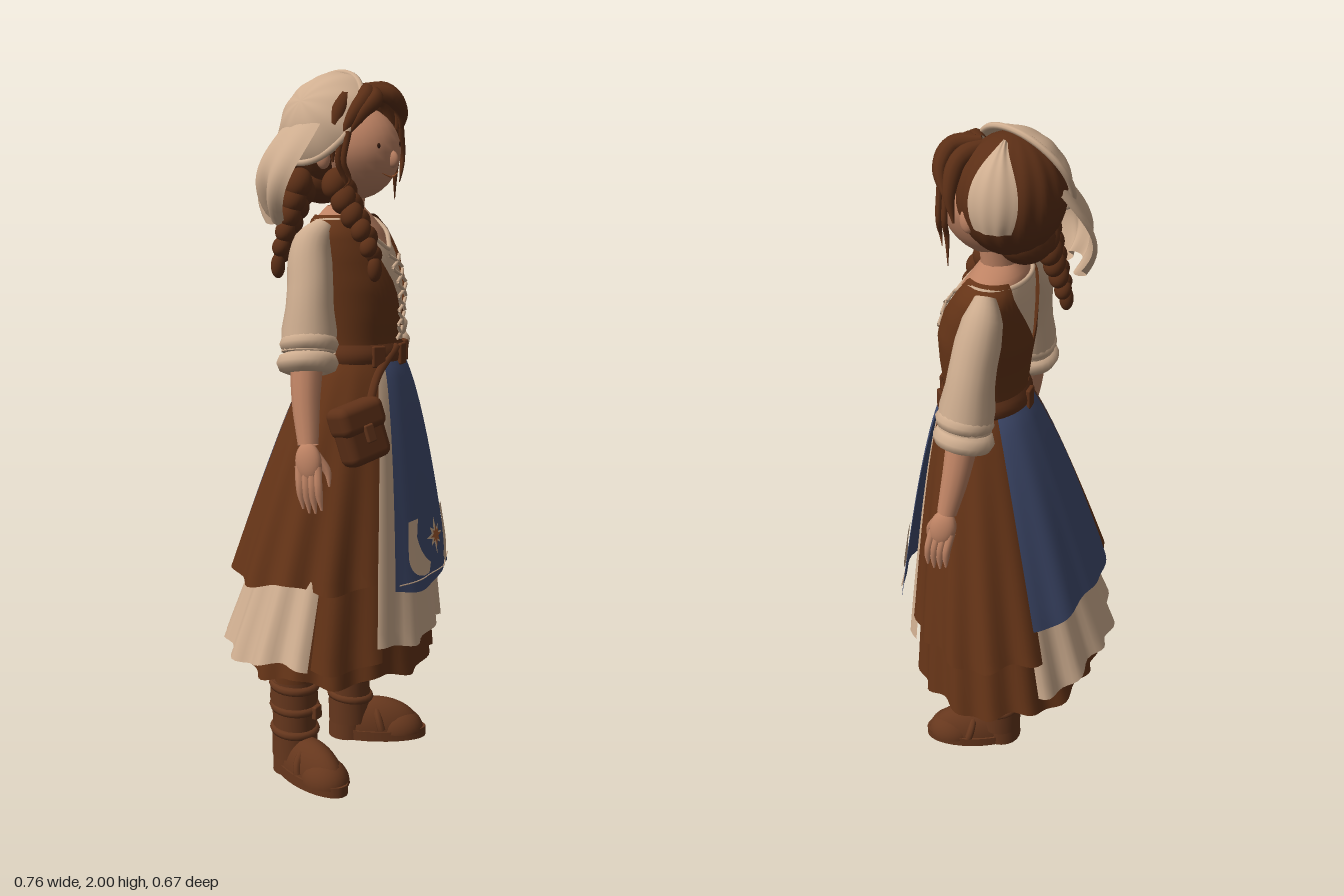
import * as THREE from 'three';
import { mergeVertices } from 'three/addons/utils/BufferGeometryUtils.js';
import { RoundedBoxGeometry } from 'three/addons/geometries/RoundedBoxGeometry.js';

const { sin, cos, abs, PI, min, max } = Math;
const deg = PI / 180;
const paint = (name, color) => Object.assign(new THREE.MeshStandardMaterial({ color, side: THREE.DoubleSide }), { name });
const M = {
  cream: paint('cream linen', 0xcfae90), brown: paint('brown cloth', 0x653417), hair: paint('chestnut hair', 0x5c2f16),
  blue: paint('blue apron', 0x404b6e), skin: paint('skin', 0xbd8263), leather: paint('leather', 0x5f3118),
  boot: paint('boot leather', 0x66371d), rust: paint('rust thread', 0xa0582f), dark: paint('dark brown', 0x3a1d10),
};

function add(parent, name, geo, mat, pos = [0, 0, 0], rot = [0, 0, 0], scale = [1, 1, 1]) {
  const m = new THREE.Mesh(geo, mat);
  m.name = name;
  m.position.set(...pos); m.rotation.set(...rot); m.scale.set(...scale);
  parent.add(m);
}
const group = (parent, name) => { const g = new THREE.Group(); g.name = name; parent.add(g); return g; };

// smooth grid surface; u runs left to right seen from outside, v top to bottom
function surface(f, nu, nv) {
  const p = [], idx = [], w = nu + 1;
  for (let i = 0; i <= nv; i++) for (let j = 0; j <= nu; j++) p.push(...f(j / nu, i / nv));
  for (let i = 0; i < nv; i++) for (let j = 0; j < nu; j++) {
    const a = i * w + j, b = a + w;
    idx.push(a, b, b + 1, a, b + 1, a + 1);
  }
  let g = new THREE.BufferGeometry();
  g.setAttribute('position', new THREE.Float32BufferAttribute(p, 3));
  g.setIndex(idx);
  g = mergeVertices(g, 1e-5);
  g.computeVertexNormals();
  return g;
}
function sample(list, t) {
  const k = min(max(t, 0), 1) * (list.length - 1), i = min(Math.floor(k), list.length - 2);
  return list[i] + (list[i + 1] - list[i]) * (k - i);
}
// tube whose radius follows a list
function limb(points, radii, n = 16, sides = 12, closed = false) {
  const curve = new THREE.CatmullRomCurve3(points.map(p => new THREE.Vector3(...p)), closed);
  const g = new THREE.TubeGeometry(curve, n, 1, sides, closed), pos = g.attributes.position, v = new THREE.Vector3();
  for (let i = 0; i < pos.count; i++) {
    const t = Math.floor(i / (sides + 1)) / n, c = curve.getPointAt(min(t, 1));
    v.fromBufferAttribute(pos, i).sub(c).multiplyScalar(sample(radii, t)).add(c);
    pos.setXYZ(i, v.x, v.y, v.z);
  }
  return g;
}
const ball = new THREE.SphereGeometry(1, 24, 16);

// torso rings: y, half width, half depth, forward shift
const RINGS = [[1.16, .125, .1, .08], [1.25, .124, .1, .08], [1.33, .134, .11, .08], [1.41, .144, .118, .075],
  [1.5, .15, .106, .06], [1.56, .147, .09, .045], [1.6, .11, .072, .035], [1.63, .05, .05, .035]];
function torso(a, y, off = 0) {
  let i = 0;
  while (i < RINGS.length - 2 && y > RINGS[i + 1][0]) i++;
  const A = RINGS[i], B = RINGS[i + 1], t = (y - A[0]) / (B[0] - A[0]), m = k => A[k] + (B[k] - A[k]) * t;
  return [sin(a) * (m(1) + off), y, cos(a) * (m(2) + off) + m(3)];
}
const wrapTorso = (low, top, off) => surface((u, v) => {
  const a = (u - .5) * 2 * PI, hi = top(abs(a));
  return torso(a, hi + (low - hi) * v, off);
}, 64, 20);

// skirt layers flare from the waist to an oval hem, with folds growing downwards
const skirtAt = (L, a, y, off = 0) => {
  const t = (1.22 - y) / (1.22 - L.hem), f = Math.pow(max(t, 0), L.flare ?? .74), fold = 1 + (L.fold ?? .035) * t * sin(a * (L.n ?? 15));
  return [sin(a) * ((.135 + (L.x - .135) * f) * fold + off) + (L.shift ?? 0) * f, y,
    cos(a) * ((.113 + (L.z - .113) * f) * fold + off) + .08 * (1 - min(t, 1))];
};
const skirt = L => surface((u, v) => {
  const a = (L.from + (L.to - L.from) * u) * deg, hem = L.hem + .012 * sin(a * 7);
  return skirtAt(L, a, 1.22 + (hem - 1.22) * v);
}, Math.ceil((L.to - L.from) / 3), 20);

function buildSkirts(body) {
  const g = group(body, 'skirts');
  const layer = (name, mat, L) => add(g, name, skirt(L), mat);
  layer('underskirt', M.brown, { from: 0, to: 360, hem: .3, x: .32, z: .27, shift: .04 });
  layer('frontPetticoat', M.cream, { from: -46, to: 34, hem: .41, x: .365, z: .303, n: 17 });
  layer('backPetticoat', M.cream, { from: 128, to: 286, hem: .38, x: .385, z: .302, n: 17, flare: 1.2 });
  layer('lowerRightPanel', M.brown, { from: 284, to: 320, hem: .37, x: .35, z: .315 });
  layer('rightPanel', M.brown, { from: 207, to: 319, hem: .59, x: .33, z: .295 });
  layer('leftPanel', M.brown, { from: 28, to: 132, hem: .5, x: .375, z: .282 });
  layer('backApron', M.blue, { from: 127, to: 213, hem: .62, x: .365, z: .272, fold: .015 });
  const apron = { from: -31, to: 31, hem: .575, x: .4, z: .325, fold: .012 };
  layer('frontApron', M.blue, apron);

  // embroidery laid onto the apron
  const stitch = (name, shape, mat, off) => {
    const geo = new THREE.ShapeGeometry(shape, 10), p = geo.attributes.position;
    for (let i = 0; i < p.count; i++) p.setXYZ(i, ...skirtAt(apron, p.getX(i) / .36, p.getY(i), off));
    geo.computeVertexNormals();
    add(g, name, geo, mat);
  };
  const star = (r, q) => new THREE.Shape(Array.from({ length: 16 }, (_, i) => {
    const R = i % 2 ? q : i % 4 ? r * .7 : r;
    return new THREE.Vector2(R * sin(i * PI / 8), .7 + R * cos(i * PI / 8));
  }));
  stitch('star', star(.055, .02), M.cream, .008);
  stitch('starCentre', star(.034, .014), M.rust, .011);
  for (const s of [-1, 1]) {
    const leaf = new THREE.Shape();
    leaf.moveTo(s * .04, .632);
    leaf.lineTo(s * .055, .605);
    leaf.quadraticCurveTo(s * .16, .6, s * .15, .69);
    leaf.lineTo(s * .145, .765);
    leaf.lineTo(s * .1, .768);
    leaf.lineTo(s * .112, .72);
    leaf.quadraticCurveTo(s * .1, .665, s * .04, .632);
    stitch('leafEmbroidery', leaf, M.cream, .008);
  }
  const edge = Array.from({ length: 9 }, (_, i) => skirtAt(apron, (-29 + i * 7.25) * deg, .597, .004));
  add(g, 'apronStitching', limb(edge, [.002, .002], 24, 4), M.cream);
}

function buildTorso(body) {
  const g = group(body, 'torso');
  add(g, 'chest', wrapTorso(1.4, () => 1.63, 0), M.skin);
  add(g, 'neck', limb([[0, 1.56, .035], [.005, 1.63, .04], [.01, 1.72, .045]], [.056, .048, .05]), M.skin);
  const blouseTop = d => 1.51 + .08 * min(d / .9, 1);
  add(g, 'blouse', wrapTorso(1.17, blouseTop, .006), M.cream);
  // bodice with deep necklines and straps over the shoulders
  const top = d => d < .8 ? 1.32 + .285 * d / .8 : d < 2.3 ? 1.605 : 1.605 - .2 * (d - 2.3) / .84;
  add(g, 'bodice', wrapTorso(1.18, top, .016), M.brown);
  const collar = Array.from({ length: 24 }, (_, i) => {
    const a = i * 15 * deg;
    return torso(a, blouseTop(min(a, 2 * PI - a)), .006);
  });
  add(g, 'collar', limb(collar, [.007, .007], 60, 6, true), M.cream);
  // lacing
  for (let i = 0; i < 6; i++) for (const s of [-1, 1]) {
    const y = 1.26 + i * .04, w = .1 + i * .025;
    add(g, 'lace', limb([torso(-s * w, y, .02), torso(0, y + .017, .022), torso(s * w, y + .034, .02)], [.005, .005], 6, 5), M.cream);
  }
  // belt and buckle
  add(g, 'belt', surface((u, v) => torso(u * 2 * PI, 1.25 - .065 * v, .018 + .012 * sin(v * PI)), 48, 6), M.leather);
  for (const a of [-.7, 0, .7, PI])
    add(g, 'beltBuckle', new RoundedBoxGeometry(.04, .06, .014, 2, .005), M.leather, torso(a, 1.218, .03), [0, a, 0]);
}

function buildArm(body, name, s, reach, back) {
  const g = group(body, name), P = (x, y, z) => [s * x * reach, y, z - back];
  add(g, 'sleeve', limb([[s * .13, 1.575, .03], P(.165, 1.52, .045), P(.205, 1.4, .058), P(.24, 1.24, .07)],
    [.03, .054, .062, .063, .066, .076, .074], 24, 20), M.cream);
  for (const [y, r, x, tube] of [[1.262, .053, .237, .028], [1.212, .056, .247, .029]])
    add(g, 'rolledCuff', new THREE.TorusGeometry(r, tube, 8, 24), M.cream, P(x, y, .07), [PI / 2 - .12, s * .25, 0]);
  add(g, 'forearm', limb([P(.245, 1.24, .068), P(.279, 1.12, .08), P(.308, 1.0, .1)], [.045, .042, .036, .028]), M.skin);
  add(g, 'palm', ball, M.skin, P(.322, .955, .108), [-.2, 0, s * .15], [.024, .055, .038]);
  for (let i = 0; i < 4; i++) {
    const z = .082 + i * .018, drop = i % 3 ? .01 : 0;
    add(g, 'finger', limb([P(.326, .945, z), P(.341, .89, z + .01), P(.334, .83 - drop, z + .016)], [.012, .012, .011, .003], 8, 7), M.skin);
  }
  add(g, 'thumb', limb([P(.313, .975, .125), P(.304, .93, .155), P(.303, .89, .16)], [.014, .012, .003], 8, 7), M.skin);
}

function buildBraid(body, points) {
  const g = group(body, 'braid'), c = new THREE.CatmullRomCurve3(points.map(p => new THREE.Vector3(...p)));
  for (let i = 0; i < 5; i++) for (const s of [-1, 1]) {
    const p = c.getPointAt((i + (s > 0 ? .4 : 0)) / 5), r = .043 - .004 * i;
    add(g, 'plait', ball, M.hair, [p.x + s * r * .4, p.y, p.z], [0, 0, s * .6], [r * .85, r * 1.1, r * .9]);
  }
  const e = c.getPointAt(1);
  add(g, 'braidTip', ball, M.hair, [e.x, e.y - .01, e.z], [0, 0, 0], [.02, .035, .02]);
}

function buildHead(body) {
  const h = group(body, 'head');
  h.position.set(.007, 1.806, .041);
  h.rotation.set(0, -17 * deg, .07);
  // face narrows towards the chin
  const face = ball.clone(), p = face.attributes.position;
  for (let i = 0; i < p.count; i++) if (p.getY(i) < 0) p.setX(i, p.getX(i) * (1 + .22 * p.getY(i)));
  face.computeVertexNormals();
  add(h, 'face', face, M.skin, [0, -.03, .03], [0, 0, 0], [.113, .128, .13]);
  add(h, 'nose', ball, M.skin, [0, -.05, .155], [-.3, 0, 0], [.012, .024, .02]);
  add(h, 'smile', limb([[-.036, -.086, .146], [0, -.098, .152], [.036, -.086, .146]], [.001, .003, .001], 12, 6), M.rust);
  for (const s of [-1, 1]) {
    add(h, 'ear', ball, M.skin, [s * .116, -.035, .005], [0, 0, 0], [.016, .034, .024]);
    add(h, 'eye', ball, M.dark, [s * .046, -.012, .146], [0, s * .4, 0], [.005, .007, .003]);
  }
  // hair with combed ridges
  add(h, 'hair', surface((u, v) => {
    const a = u * 2 * PI, t = v * PI, k = 1 + .018 * sin(a * 16) * sin(t);
    return [sin(a) * sin(t) * .145 * k, .02 + cos(t) * .16, -.045 + cos(a) * sin(t) * .142 * k];
  }, 96, 24), M.hair);
  // fringe parted above the brow and swept to both sides
  const locks = [
    [[.02, .145, .04], [.06, .128, .1], [.108, .08, .105], [.125, .0, .07]],
    [[.015, .142, .06], [.05, .117, .12], [.095, .074, .12], [.12, .02, .095]],
    [[.02, .145, .01], [.1, .11, .05], [.132, .03, .055], [.125, -.05, .045]],
    [[.01, .14, .05], [-.04, .122, .105], [-.097, .075, .105], [-.124, .0, .07]],
    [[.01, .137, .06], [-.03, .112, .125], [-.08, .078, .123], [-.115, .02, .095]],
    [[.01, .14, .02], [-.09, .105, .06], [-.128, .03, .055], [-.122, -.05, .045]],
  ];
  for (const l of locks) add(h, 'hairLock', limb(l, [.012, .025, .023, .015, .003], 18, 10), M.hair);
  for (const s of [-1, 1]) for (const [k, y] of [[0, -.17], [.02, -.12]])
    add(h, 'looseStrand', limb([[s * .115, .03, .08 + k], [s * .13, -.05, .07 + k], [s * .112, -.1, .075 + k], [s * .125, y, .06 + k]],
      [.009, .009, .007, .001], 16, 6), M.hair);
  add(h, 'napeHair', ball, M.hair, [-.03, -.1, -.075], [0, 0, 0], [.085, .07, .075]);

  // kerchief: cap over the right side, rolled rim, hanging tail, band on the left
  const q = new THREE.Quaternion().setFromUnitVectors(new THREE.Vector3(0, 1, 0), new THREE.Vector3(-.78, .54, -.1).normalize());
  const at = (a, t, k = 1) => {
    const v = new THREE.Vector3(sin(a) * sin(t), cos(t), cos(a) * sin(t)).applyQuaternion(q);
    return [v.x * .166 * k, .02 + v.y * .168 * k, -.03 + v.z * .172 * k];
  };
  add(h, 'kerchief', surface((u, v) => at(u * 2 * PI, v * 1.04, 1.01 + .012 * v * sin(u * 2 * PI * 9)), 60, 14), M.cream);
  add(h, 'kerchiefRim', limb(Array.from({ length: 20 }, (_, i) => at(i * PI / 10, 1.03)), [.009, .009], 60, 8, true), M.cream);
  add(h, 'kerchiefTail', surface((u, v) => {
    const a = (236 + (u - .5) * (112 - 74 * v)) * deg, r = .15 + .1 * sin(v * 2.35) + .016 * v * sin(u * 17);
    return [sin(a) * r, .07 - v * (.265 + .025 * sin(u * 8)), -.02 + cos(a) * r * .95];
  }, 30, 14), M.cream);
  add(h, 'kerchiefBand', surface((u, v) => {
    const a = (106 + (u - .5) * (14 + 40 * sin(v * 2.3))) * deg, t = .45 + v * 1.5, k = 1.03 + .06 * sin(u * PI) + .008 * sin(u * 20);
    return [sin(a) * sin(t) * .147 * k, .02 + cos(t) * .16 * k, -.045 + cos(a) * sin(t) * .142 * k];
  }, 24, 16), M.cream);
}

function buildPouch(body) {
  const g = group(body, 'pouch');
  g.position.set(-.23, 1.02, .18);
  g.rotation.set(-.2, -.55, .12);
  add(g, 'bag', new RoundedBoxGeometry(.14, .15, .075, 3, .025), M.leather);
  add(g, 'flap', new RoundedBoxGeometry(.15, .085, .09, 3, .025), M.leather, [0, .05, .003]);
  add(g, 'clasp', new RoundedBoxGeometry(.03, .05, .014, 2, .005), M.boot, [0, .005, .047]);
  add(body, 'pouchStrap', limb([[-.2, 1.09, .19], [-.12, 1.17, .185], [-.02, 1.24, .2]], [.013, .013], 10, 6), M.leather);
}

function buildBoot(root, name, x, z, yaw) {
  const g = group(root, name);
  g.position.set(x, 0, z);
  g.rotation.y = yaw;
  add(g, 'legging', limb([[0, .56, 0], [0, .4, 0], [0, .22, 0]], [.05, .056, .06]), M.brown);
  add(g, 'shaft', limb([[0, .28, -.005], [0, .18, -.003], [0, .05, 0]], [.066, .07, .062, .066, .066], 16, 20), M.boot);
  for (const [y, r] of [[.265, .062], [.2, .061], [.13, .06]])
    add(g, 'bootStrap', new THREE.TorusGeometry(r, .013, 8, 24), M.boot, [0, y, 0], [PI / 2 + .12, 0, 0]);
  add(g, 'bootBuckle', new RoundedBoxGeometry(.035, .04, .016, 2, .005), M.boot, [.03, .19, .068], [0, .4, 0]);
  // foot dome is cut flat at the sole
  const dome = new THREE.SphereGeometry(1, 24, 10, 0, 2 * PI, 0, PI / 2);
  add(g, 'foot', dome, M.boot, [0, .02, .08], [0, 0, 0], [.062, .1, .14]);
  add(g, 'toeCap', dome, M.boot, [0, .02, .148], [0, 0, 0], [.066, .066, .08]);
  add(g, 'instepStrap', new THREE.TorusGeometry(.058, .012, 8, 20, PI), M.boot, [0, .035, .1], [-.3, 0, 0], [1.05, 1.1, 1]);
  add(g, 'sole', new THREE.CylinderGeometry(1, 1, .03, 28), M.boot, [0, .015, .085], [0, 0, 0], [.067, 1, .15]);
  add(g, 'heel', new THREE.CylinderGeometry(.06, .062, .05, 20), M.boot, [0, .025, -.005]);
}

export function createModel() {
  const root = new THREE.Group();
  root.name = 'villageGirl';
  const body = group(root, 'body');
  body.rotation.y = 30 * deg;
  buildSkirts(body);
  buildTorso(body);
  buildArm(body, 'leftArm', 1, 1.02, .018);
  buildArm(body, 'rightArm', -1, 1.04, .035);
  buildHead(body);
  buildBraid(body, [[-.085, 1.69, .05], [-.1, 1.62, .095], [-.115, 1.54, .15], [-.11, 1.47, .17]]);
  buildBraid(body, [[-.09, 1.69, -.06], [-.12, 1.59, -.08], [-.148, 1.475, -.105]]);
  buildPouch(body);
  buildBoot(root, 'rightBoot', -.185, .06, 0);
  buildBoot(root, 'leftBoot', .1, -.05, 50 * deg);
  return root;
}
